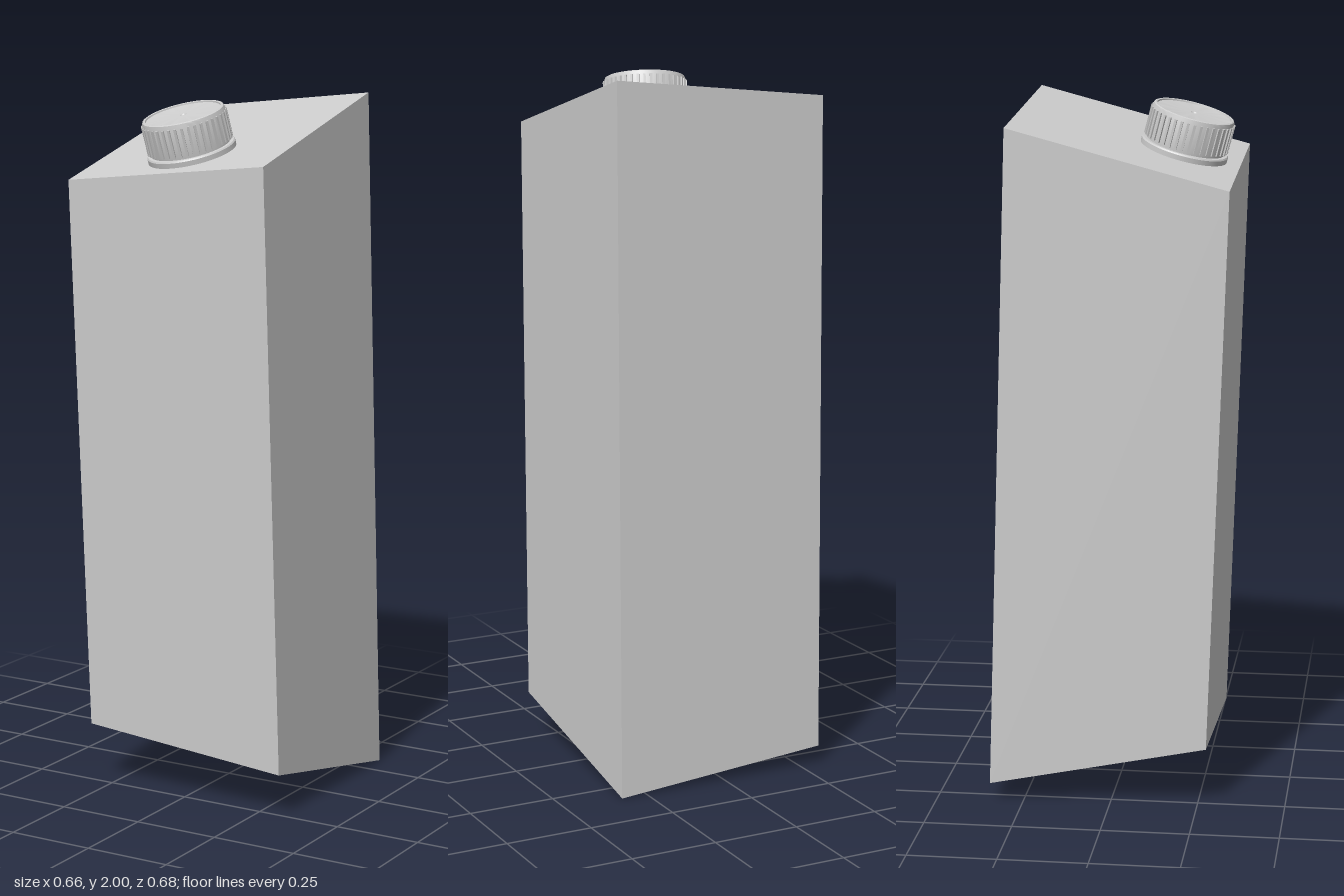
import * as THREE from 'three';
import { toCreasedNormals } from 'three/addons/utils/BufferGeometryUtils.js';

const cardboard = new THREE.MeshStandardMaterial({ color: 0xcccccc });
cardboard.name = 'light grey';

// Corners of the tilted carton, keyed by left/right (-x/+x), bottom/top and back/front
const corners = {
  '-1,-1,-1': [-0.308, 0.055, -0.344],
  '1,-1,-1': [0.326, 0, -0.339],
  '1,-1,1': [0.331, 0.13, 0.284],
  '-1,-1,1': [-0.303, 0.18, 0.277],
  '-1,1,-1': [-0.333, 1.935, -0.282],
  '1,1,-1': [0.3, 2, -0.273],
  '1,1,1': [0.308, 1.835, 0.34],
  '-1,1,1': [-0.324, 1.77, 0.332],
};

function mesh(geometry, name) {
  const m = new THREE.Mesh(geometry, cardboard);
  m.name = name;
  return m;
}

function turned(points, segments = 64) {
  const profile = points.map(([r, y]) => new THREE.Vector2(r, y));
  return toCreasedNormals(new THREE.LatheGeometry(profile, segments), 0.5);
}

// Carton: a box whose corners are moved onto the slanted shape
function createCarton() {
  const geometry = new THREE.BoxGeometry(2, 2, 2);
  const p = geometry.attributes.position;
  for (let i = 0; i < p.count; i++) {
    p.setXYZ(i, ...corners[[p.getX(i), p.getY(i), p.getZ(i)].join(',')]);
  }
  geometry.computeVertexNormals();
  return mesh(geometry, 'carton');
}

// Screw cap: collar, ribbed body and a recessed top with a central dimple
function createCap() {
  const cap = new THREE.Group();
  cap.name = 'screwCap';

  cap.add(mesh(turned([
    [0.125, -0.005], [0.125, 0.014], [0.122, 0.018], [0.112, 0.018],
  ]), 'capCollar'));

  cap.add(mesh(turned([
    [0.112, 0.016], [0.112, 0.023], [0.117, 0.023], [0.117, 0.112],
    [0.115, 0.117], [0.111, 0.119], [0.107, 0.118], [0.106, 0.114],
    [0.009, 0.114], [0.006, 0.110], [0, 0.108],
  ]), 'capBody'));

  const ribCount = 40;
  const ribs = new THREE.Group();
  ribs.name = 'capRibs';
  const ribGeometry = new THREE.BoxGeometry(0.007, 0.08, 0.007);
  for (let i = 0; i < ribCount; i++) {
    const a = (i / ribCount) * Math.PI * 2;
    const rib = mesh(ribGeometry, 'capRib');
    rib.position.set(Math.sin(a) * 0.118, 0.066, Math.cos(a) * 0.118);
    rib.rotation.y = a;
    ribs.add(rib);
  }
  cap.add(ribs);
  return cap;
}

export function createModel() {
  const model = new THREE.Group();
  model.name = 'drinkCarton';
  model.add(createCarton());

  // Stand the cap square on the slanted top
  const cap = createCap();
  const topNormal = new THREE.Vector3(-0.102, 0.96, 0.26).normalize();
  cap.quaternion.setFromUnitVectors(new THREE.Vector3(0, 1, 0), topNormal);
  cap.position.set(-0.013, 1.845, 0.177);
  model.add(cap);
  return model;
}
